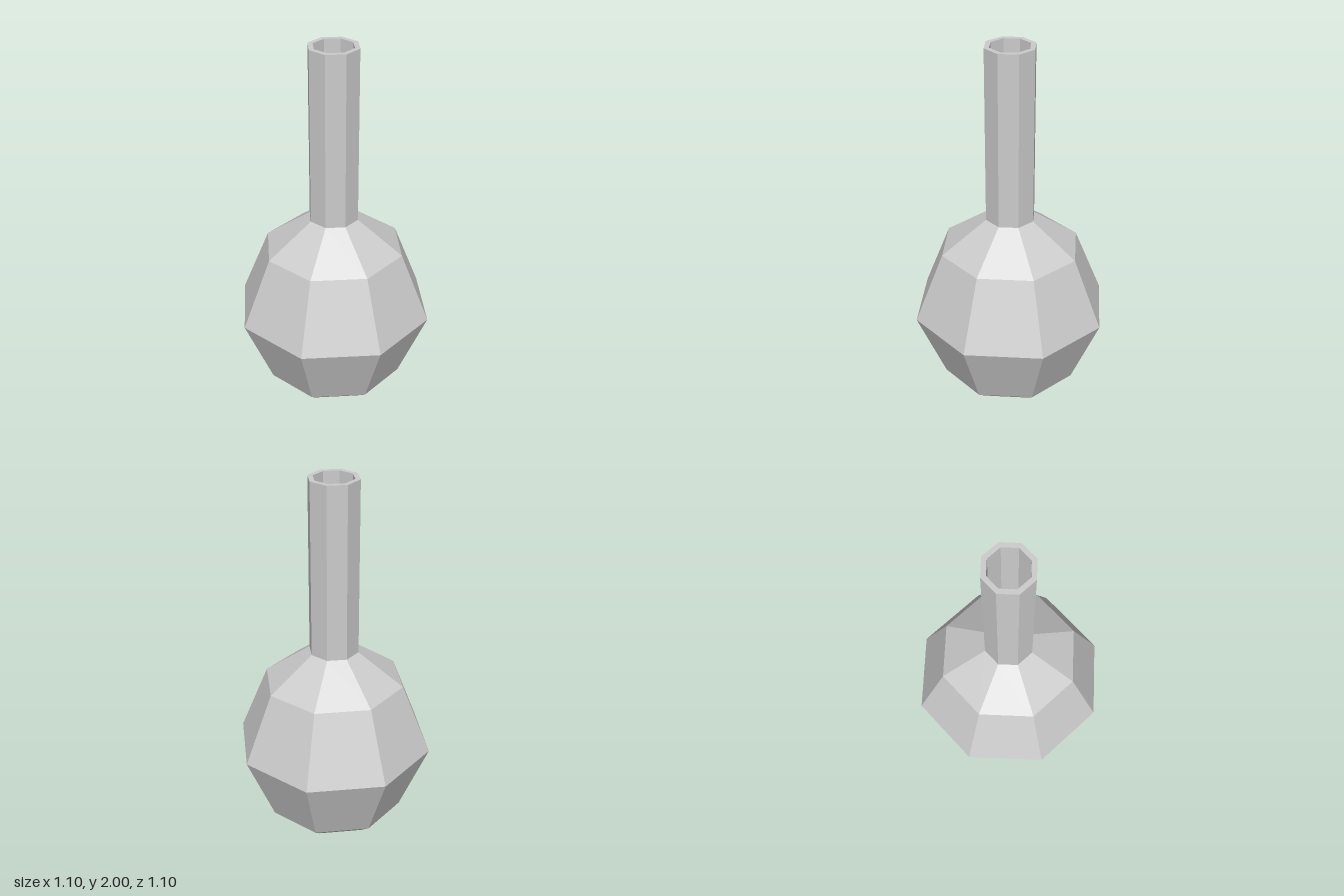
import * as THREE from 'three';

const SIDES = 8;

// Faceted eight-sided turning of a [radius, height] profile, listed from the bottom outward and up
function turned(name, profile) {
  const points = profile.map(([r, y]) => new THREE.Vector2(r, y));
  const material = new THREE.MeshStandardMaterial({ color: 0xcccccc, flatShading: true });
  const mesh = new THREE.Mesh(new THREE.LatheGeometry(points, SIDES), material);
  mesh.name = name;
  return mesh;
}

export function createModel() {
  const group = new THREE.Group();
  group.name = 'flask';

  // Round body with a flat base, widest at the middle, tapering to the shoulder
  group.add(turned('body', [
    [0, 0], [0.305, 0], [0.39, 0.07], [0.55, 0.46], [0.39, 0.85], [0.138, 1.03],
  ]));

  // Straight neck: outer wall, rim, inner wall and the floor of the bore
  group.add(turned('neck', [
    [0.138, 1.03], [0.138, 2], [0.11, 2], [0.11, 1.03], [0, 1.03],
  ]));

  return group;
}
